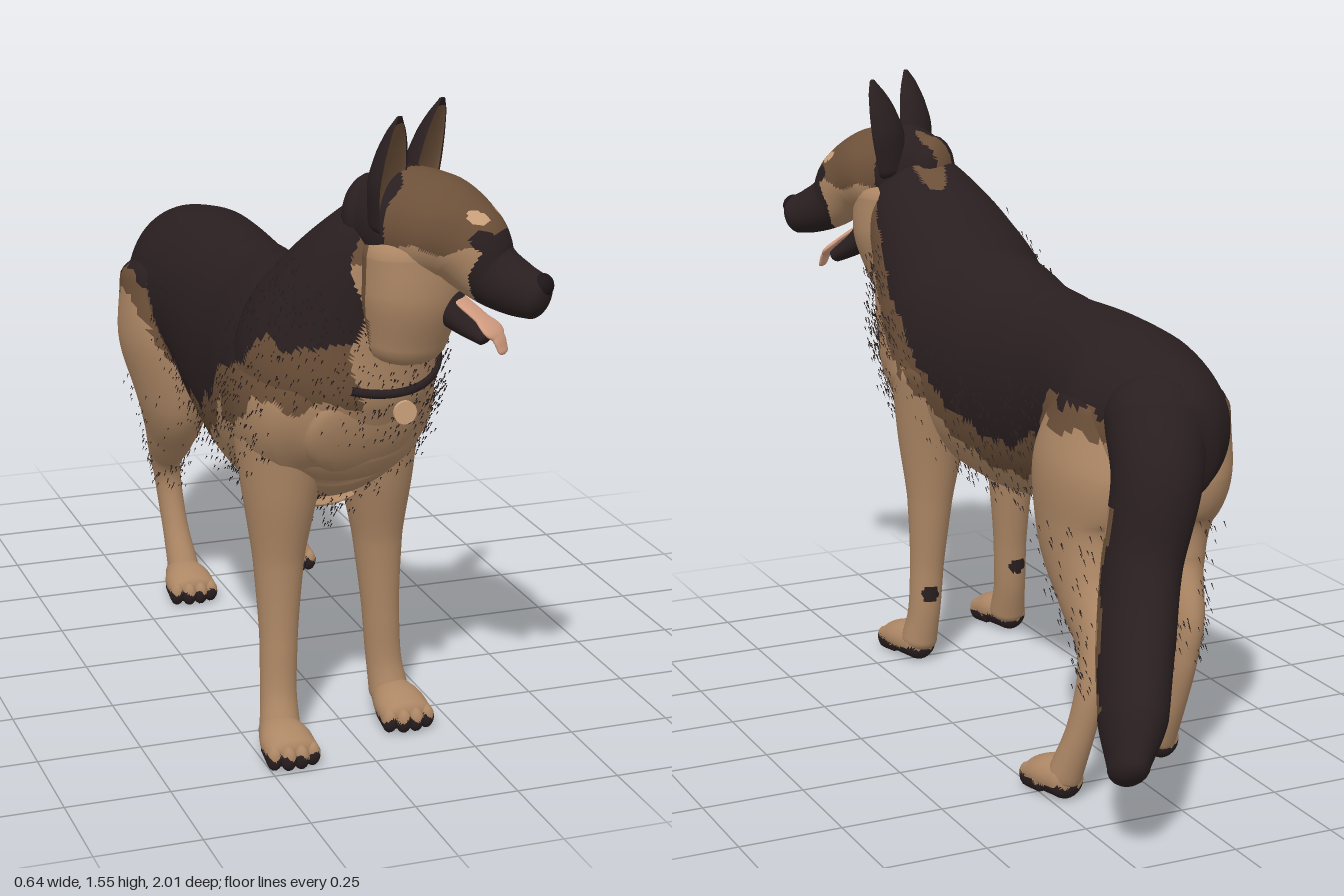
import * as THREE from 'three';

const V = (x, y, z) => new THREE.Vector3(x, y, z);
const lerp = THREE.MathUtils.lerp;
const paint = (name, color) => {
  const m = new THREE.MeshStandardMaterial({ color });
  m.name = name;
  return m;
};

export function createModel() {
  const black = paint('saddle black', 0x2a1f20), brown = paint('coat brown', 0x6c5039);
  const tan = paint('coat tan', 0xad8765), light = paint('brow cream', 0xcda27c);
  const pink = paint('tongue pink', 0xd29c80), nose = paint('nose black', 0x1d1517);
  const dog = new THREE.Group();
  dog.name = 'dog';

  // Skin through oval sections [x, y, z, half width, half depth]; a is the angle round the section
  const skin = rows => {
    const pos = new THREE.CatmullRomCurve3(rows.map(r => V(r[0], r[1], r[2])));
    const size = new THREE.CatmullRomCurve3(rows.map(r => V(r[3], r[4], 0)));
    return (t, a, grow = 1, push = 0, front = 1) => {
      const T = pos.getTangent(t), s = size.getPoint(t);
      const S = V(1, 0, 0).addScaledVector(T, -T.x).normalize(), N = T.clone().cross(S);
      const sin = Math.sin(a) * (Math.sin(a) < 0 ? front : 1);
      return pos.getPoint(t).addScaledVector(S, Math.cos(a) * s.x * grow)
        .addScaledVector(N, sin * s.y * grow).addScaledVector(T, push * Math.min(s.x, s.y));
    };
  };

  // Closed round-ended loft; rule(point, t, sin a) picks the material of each triangle
  const loft = (parent, name, rows, rule, { n = 36, m = 28, round = 0.6, front = 1 } = {}) => {
    const f = skin(rows), rings = [], pts = [], groups = new Map();
    const cap = 6;
    for (let i = 0; i < cap; i++) {
      const b = (i / cap) * Math.PI / 2;
      rings.push([0, Math.sin(b), -Math.cos(b) * round]);
    }
    for (let i = 0; i <= n; i++) rings.push([i / n, 1, 0]);
    for (let i = cap - 1; i >= 0; i--) {
      const b = (i / cap) * Math.PI / 2;
      rings.push([1, Math.sin(b), Math.cos(b) * round]);
    }
    rings.forEach(([t, grow, push]) => {
      for (let j = 0; j < m; j++) pts.push(f(t, j / m * Math.PI * 2, grow, push, front));
    });
    for (let i = 0; i < rings.length - 1; i++) for (let j = 0; j < m; j++) {
      const k = (j + 1) % m, a = i * m + j, b = i * m + k, c = a + m, d = b + m;
      for (const tri of [[a, b, c], [b, d, c]]) {
        const p = V(0, 0, 0);
        tri.forEach(q => p.addScaledVector(pts[q], 1 / 3));
        const mat = rule.isMaterial ? rule : rule(p, rings[i][0], Math.sin((j + 0.5) / m * Math.PI * 2));
        if (!groups.has(mat)) groups.set(mat, []);
        groups.get(mat).push(...tri);
      }
    }
    const geo = new THREE.BufferGeometry().setFromPoints(pts), index = [], mats = [];
    groups.forEach((list, mat) => {
      geo.addGroup(index.length, list.length, mats.length);
      mats.push(mat);
      for (const q of list) index.push(q);
    });
    geo.setIndex(index);
    geo.computeVertexNormals();
    const mesh = new THREE.Mesh(geo, mats);
    mesh.name = name;
    parent.add(mesh);
    return f;
  };

  // Coat pattern: black above the saddle line, a brown edge, tan below,
  // a brown nape patch and a dark spot behind each foreleg
  const saddle = [[-0.8, 0.6], [-0.64, 0.72], [-0.6, 0.92], [-0.3, 0.92], [-0.22, 0.8], [0, 0.71],
    [0.2, 0.74], [0.35, 0.81], [0.42, 0.89], [0.55, 1.0], [0.66, 1.15], [0.76, 1.38]];
  const spots = [V(0.12, 0.2, 0.43), V(-0.185, 0.21, 0.54)];
  const coat = p => {
    if (spots.some(s => s.distanceTo(p) < 0.024)) return black;
    if (p.y > 1.2 && Math.hypot((p.x - 0.03) / 0.045, (p.z - 0.64) / 0.085) < 1) return brown;
    const z = THREE.MathUtils.clamp(p.z + p.x * 0.25 * THREE.MathUtils.smoothstep(p.z, 0.4, 0.55), -0.79, 0.75);
    const i = saddle.findIndex(s => s[0] > z), [a, b] = [saddle[i - 1], saddle[i]];
    const rightNeck = p.z > 0.45 && p.x < -0.07 + 0.015 * Math.sin(p.y * 30);
    const line = lerp(a[1], b[1], (z - a[0]) / (b[0] - a[0]));
    const edge = (rightNeck ? Math.min(line, 1.02) : line)
      + 0.012 * Math.sin(z * 38 + p.x * 9) + 0.008 * Math.sin(z * 83 + p.y * 20);
    const band = p.z > 0.45 ? 0.14 : p.z > -0.15 ? 0.085 : 0.06;
    return p.y > edge ? black : p.y > edge - band ? brown : tan;
  };

  // Torso and neck
  const torso = loft(dog, 'torso', [
    [-0.005, 0.84, -0.66, 0.12, 0.14], [-0.04, 0.86, -0.55, 0.17, 0.185], [-0.055, 0.86, -0.4, 0.2, 0.218],
    [-0.06, 0.865, -0.2, 0.18, 0.225], [-0.06, 0.83, 0, 0.185, 0.262], [-0.06, 0.815, 0.2, 0.2, 0.287],
    [-0.055, 0.838, 0.4, 0.225, 0.298], [-0.045, 0.855, 0.53, 0.24, 0.28], [-0.04, 0.84, 0.61, 0.23, 0.245],
    [-0.035, 0.825, 0.67, 0.2, 0.19], [-0.03, 0.81, 0.71, 0.14, 0.12]], coat, { n: 140, m: 84, round: 0.3 });
  const neck = loft(dog, 'neck', [
    [-0.04, 0.8, 0.5, 0.235, 0.22], [-0.035, 0.96, 0.56, 0.235, 0.23], [-0.005, 1.1, 0.625, 0.2, 0.185],
    [0.035, 1.23, 0.695, 0.15, 0.13], [0.065, 1.31, 0.74, 0.1, 0.1]], coat, { n: 80, m: 80 });

  // Collar showing at the throat, with a round tag
  const arc = Array.from({ length: 12 }, (_, i) => neck(0.33, Math.PI * (1.42 + 0.5 * i / 11)));
  const collar = new THREE.Mesh(
    new THREE.TubeGeometry(new THREE.CatmullRomCurve3(arc), 40, 0.011, 8), black);
  collar.name = 'collar';
  const tag = new THREE.Mesh(new THREE.CylinderGeometry(0.027, 0.027, 0.009, 24).rotateX(Math.PI / 2), light);
  tag.name = 'collarTag';
  tag.position.set(0.045, 0.865, 0.785);
  dog.add(collar, tag);

  // Bushy tail with a pale underside
  loft(dog, 'tail', [
    [0, 0.91, -0.6, 0.12, 0.115], [0.035, 0.79, -0.675, 0.105, 0.11], [0.085, 0.6, -0.7, 0.09, 0.108],
    [0.14, 0.43, -0.775, 0.085, 0.118], [0.2, 0.3, -0.88, 0.075, 0.105], [0.24, 0.22, -0.938, 0.045, 0.068]],
  (p, t, s) => {
    const w = s + 0.15 * Math.sin(t * 25);
    return t < 0.28 || t > 0.78 || w < 0.1 ? black : w > 0.42 && t < 0.66 ? tan : brown;
  }, { n: 70, m: 48, round: 0.9 });

  // Paws with four toes and dark soles
  const sole = p => p.y < 0.04 + 0.006 * Math.sin(p.x * 160) ? black : tan;
  const paw = (name, x, z0, z1) => {
    const g = new THREE.Group();
    g.name = name;
    loft(g, 'pad', [[x, 0.05, z0 + 0.03, 0.044, 0.045], [x, 0.049, (z0 + z1) / 2, 0.062, 0.046],
      [x, 0.041, z1 - 0.045, 0.064, 0.038]], sole, { n: 20 });
    for (const i of [-1.5, -0.5, 0.5, 1.5]) {
      const tip = z1 - 0.012 * Math.abs(i);
      loft(g, 'toe', [[x + i * 0.028, 0.043, tip - 0.075, 0.019, 0.034],
        [x + i * 0.031, 0.033, tip - 0.018, 0.019, 0.03]], sole, { n: 8, m: 14, round: 1 });
    }
    dog.add(g);
  };

  // Legs: rows of [y, z, half width, half depth], shifted in x from hip to foot
  const leg = (name, rows, xTop, xFoot, zTop, zFoot) => loft(dog, name, rows.map(([y, z, w, h], i) => {
    const s = i / (rows.length - 1);
    return [lerp(xTop, xFoot, s), y, z + lerp(zTop, zFoot, s), w, h];
  }), coat, { n: 64, m: 36 });
  const fore = [[0.8, 0.47, 0.11, 0.15], [0.63, 0.475, 0.088, 0.105], [0.46, 0.47, 0.06, 0.065],
    [0.27, 0.474, 0.045, 0.047], [0.14, 0.476, 0.043, 0.044], [0.06, 0.49, 0.048, 0.048]];
  leg('leftForeleg', fore, 0.085, 0.13, 0, 0);
  leg('rightForeleg', fore, -0.165, -0.19, 0.06, 0.12);
  paw('leftForepaw', 0.133, 0.45, 0.65);
  paw('rightForepaw', -0.195, 0.57, 0.76);
  const hind = [[0.9, -0.42, 0.1, 0.16], [0.75, -0.41, 0.12, 0.2], [0.6, -0.42, 0.095, 0.165],
    [0.48, -0.49, 0.066, 0.105], [0.38, -0.58, 0.044, 0.062], [0.3, -0.608, 0.035, 0.043],
    [0.18, -0.596, 0.034, 0.038], [0.06, -0.56, 0.042, 0.042]];
  const thigh = [leg('leftHindLeg', hind, 0.045, 0.21, 0, 0), leg('rightHindLeg', hind, -0.175, -0.11, 0.01, 0.125)];
  paw('leftHindPaw', 0.212, -0.6, -0.42);
  paw('rightHindPaw', -0.115, -0.47, -0.29);

  // Head, turned towards its left
  const head = new THREE.Group();
  head.name = 'head';
  head.position.set(0.08, 1.27, 0.77);
  head.rotation.y = Math.PI / 4;
  dog.add(head);
  const face = p => {
    const ax = Math.abs(p.x);
    if (p.z > 0.06 && Math.hypot((ax - 0.05) / 0.021, (p.y - 0.062) / 0.015) < 1) return light;
    if (p.z > 0.08 && Math.hypot(ax - 0.062, p.y - 0.015) < 0.024) return black;
    if (p.z > 0.15 + 0.5 * Math.max(0, p.y + 0.06) + 0.15 * Math.max(0, -0.1 - p.y)) return black;
    if (p.z < -0.05 && Math.hypot((p.x - 0.025) / 0.036, (p.y - 0.06) / 0.08) < 1) return brown;
    if (p.z < -0.02 + 0.01 * Math.sin(p.x * 60) && p.y > -0.04) return black;
    return p.y < -0.005 + 0.01 * Math.sin(p.z * 50) ? tan : brown;
  };
  loft(head, 'skull', [[0, 0.03, -0.12, 0.095, 0.095], [0, 0.03, -0.05, 0.13, 0.122], [0, 0.018, 0.04, 0.132, 0.12],
    [0, -0.012, 0.11, 0.106, 0.1], [0, -0.068, 0.17, 0.076, 0.072], [0, -0.097, 0.23, 0.064, 0.061],
    [0, -0.11, 0.275, 0.053, 0.052]], face, { n: 100, m: 72 });
  loft(head, 'cheekRuff', [[0, -0.03, -0.02, 0.145, 0.11], [0, -0.12, -0.02, 0.145, 0.115],
    [0, -0.24, -0.035, 0.115, 0.095]], p => p.z < -0.07 ? brown : tan, { m: 40 });
  loft(head, 'lowerJaw', [[0, -0.13, 0.04, 0.062, 0.05], [0, -0.185, 0.11, 0.046, 0.03],
    [0, -0.215, 0.16, 0.034, 0.02]], black);
  loft(head, 'tongue', [[0, -0.14, 0.1, 0.03, 0.008], [0, -0.175, 0.15, 0.031, 0.008],
    [0, -0.212, 0.19, 0.031, 0.008], [0, -0.24, 0.202, 0.024, 0.007]], pink, { round: 1.5 });
  const ball = (name, mat, r, x, y, z, sx = 1) => {
    const b = new THREE.Mesh(new THREE.SphereGeometry(r, 20, 14), mat);
    b.name = name;
    b.position.set(x, y, z);
    b.scale.x = sx;
    head.add(b);
  };
  ball('nose', nose, 0.028, 0, -0.085, 0.286, 1.3);
  for (const s of [-1, 1]) {
    ball('eye', nose, 0.016, s * 0.062, 0.016, 0.135);
    // Cupped upright ear, brown inside
    loft(head, 'ear', [[s * 0.085, 0.05, -0.03, 0.066, 0.05], [s * 0.098, 0.13, -0.022, 0.07, 0.054],
      [s * 0.108, 0.2, -0.012, 0.057, 0.042], [s * 0.116, 0.25, -0.004, 0.034, 0.024],
      [s * 0.118, 0.278, 0, 0.013, 0.009]],
    (p, t, sin) => sin < -0.25 && t < 0.85 ? brown : black, { m: 36, front: -0.35 });
  }

  // Loose fur along the belly, chest and thighs: tiny seeded blades
  let seed = 7;
  const rnd = () => (seed = (seed * 16807) % 2147483647) / 2147483647;
  const blades = [];
  for (let i = 0; i < 2400; i++) {
    const a = Math.PI * (0.9 + 1.2 * rnd()), out = rnd() ** 2;
    const p = i % 3 === 0 ? neck(0.1 + 0.5 * rnd(), a, 1.005 + 0.14 * out)
      : i % 6 === 1 ? thigh[i % 4 >> 1](0.25 + 0.5 * rnd(), a * 2, 1.01 + 0.35 * out)
        : torso(0.28 + 0.6 * rnd(), a, 1.005 + 0.16 * out);
    const l = 0.008 + 0.01 * rnd();
    blades.push(p, p.clone().add(V(0.002, 0, 0.004)), p.clone().add(V(0, -l, -l * 0.6)));
  }
  const furGeo = new THREE.BufferGeometry().setFromPoints(blades);
  furGeo.computeVertexNormals();
  const strand = paint('loose fur black', 0x2a1f20);
  strand.side = THREE.DoubleSide;
  const fur = new THREE.Mesh(furGeo, strand);
  fur.name = 'looseFur';
  dog.add(fur);
  return dog;
}
